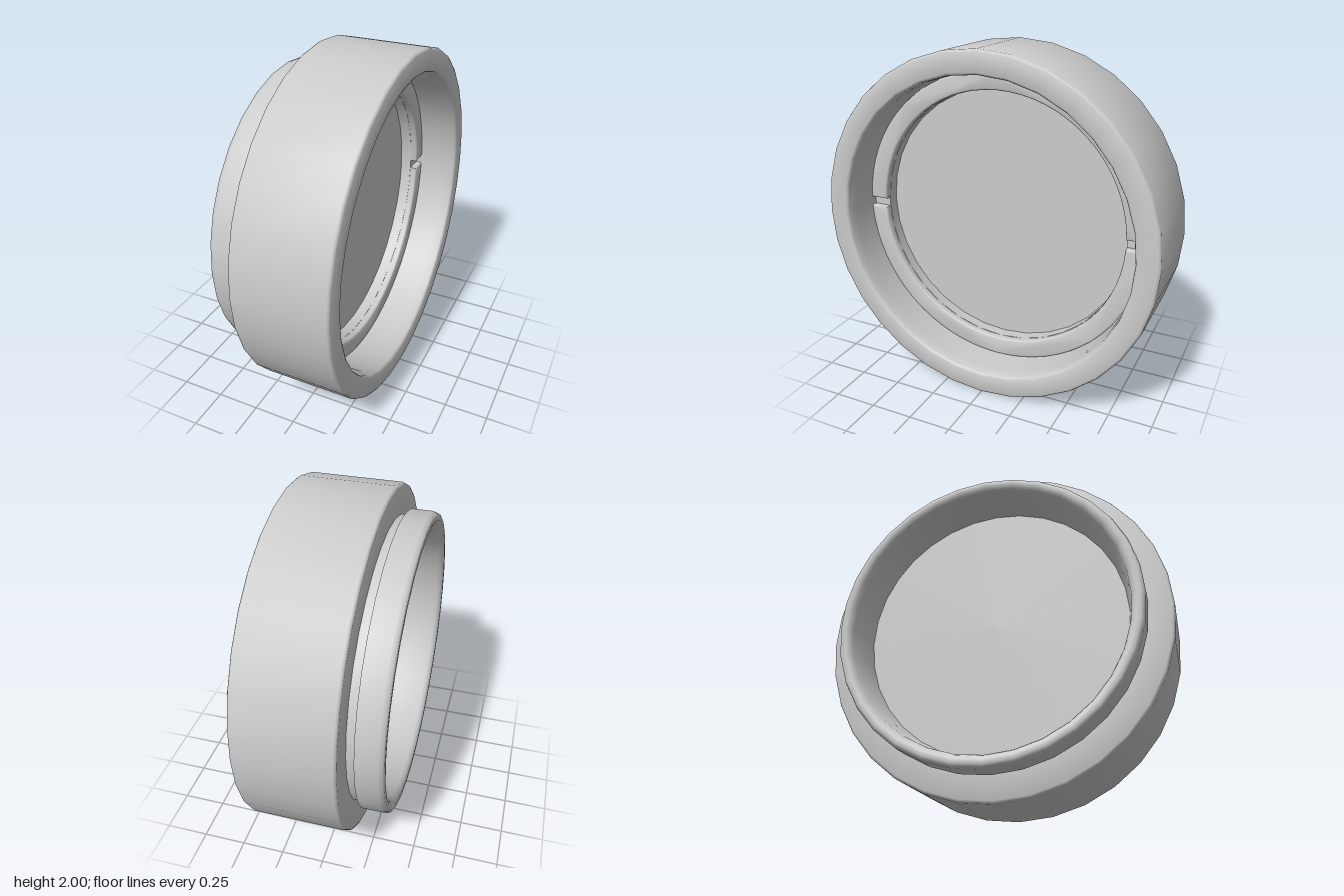
import * as THREE from 'three';
import { toCreasedNormals } from 'three/addons/utils/BufferGeometryUtils.js';

const SIDES = 32;

export function createModel() {
  const group = new THREE.Group();
  const material = new THREE.MeshStandardMaterial({ color: 0xcccccc });

  const add = (name, geometry) => {
    const mesh = new THREE.Mesh(toCreasedNormals(geometry, 0.85), material);
    mesh.name = name;
    mesh.position.y = 1;
    group.add(mesh);
  };

  // Profile points are [radius, x]; the turned part lies along the x axis.
  const turn = (name, profile) => {
    const points = profile.map(([r, x]) => new THREE.Vector2(r, x));
    add(name, new THREE.LatheGeometry(points, SIDES).rotateZ(-Math.PI / 2));
  };

  // Housing: rear threaded flange, groove, wide front barrel and its bore
  turn('housing', [
    [0.76, -0.13], [0.775, -0.22], [0.79, -0.34], [0.8, -0.36], [0.82, -0.375],
    [0.845, -0.375], [0.857, -0.368], [0.865, -0.345],
    [0.865, -0.225], [0.83, -0.225], [0.83, -0.175],
    [0.985, -0.175], [0.995, -0.17], [1, -0.16],
    [1, 0.355], [0.995, 0.365], [0.985, 0.37],
    [0.885, 0.37], [0.875, 0.365], [0.87, 0.355],
    [0.865, 0.3], [0.865, 0.03], [0.76, 0.03], [0.76, -0.13],
  ]);

  // Flat glass disc
  turn('glass', [[0, -0.135], [0.765, -0.135], [0.765, 0.035], [0, 0.035]]);

  // Retaining ring: solid base, topped by two halves that leave the key slots
  turn('retainingRingBase', [
    [0.755, 0.02], [0.864, 0.02], [0.864, 0.1], [0.755, 0.1], [0.755, 0.02],
  ]);

  const bevel = 0.01;
  const outer = 0.864 - bevel, inner = 0.755 + bevel, slot = 0.027 + bevel;
  const a = Math.asin(slot / outer), b = Math.asin(slot / inner);
  const half = new THREE.Shape();
  half.absarc(0, 0, outer, a, Math.PI - a, false);
  half.absarc(0, 0, inner, Math.PI - b, b, true);
  half.closePath();
  for (const [name, turnAngle] of [['upperRetainingHalf', 0], ['lowerRetainingHalf', Math.PI]]) {
    const geometry = new THREE.ExtrudeGeometry(half, {
      depth: 0.04, curveSegments: SIDES / 2,
      bevelThickness: bevel, bevelSize: bevel, bevelSegments: 2,
    });
    add(name, geometry.rotateZ(turnAngle).rotateY(Math.PI / 2).translate(0.09, 0, 0));
  }

  return group;
}
